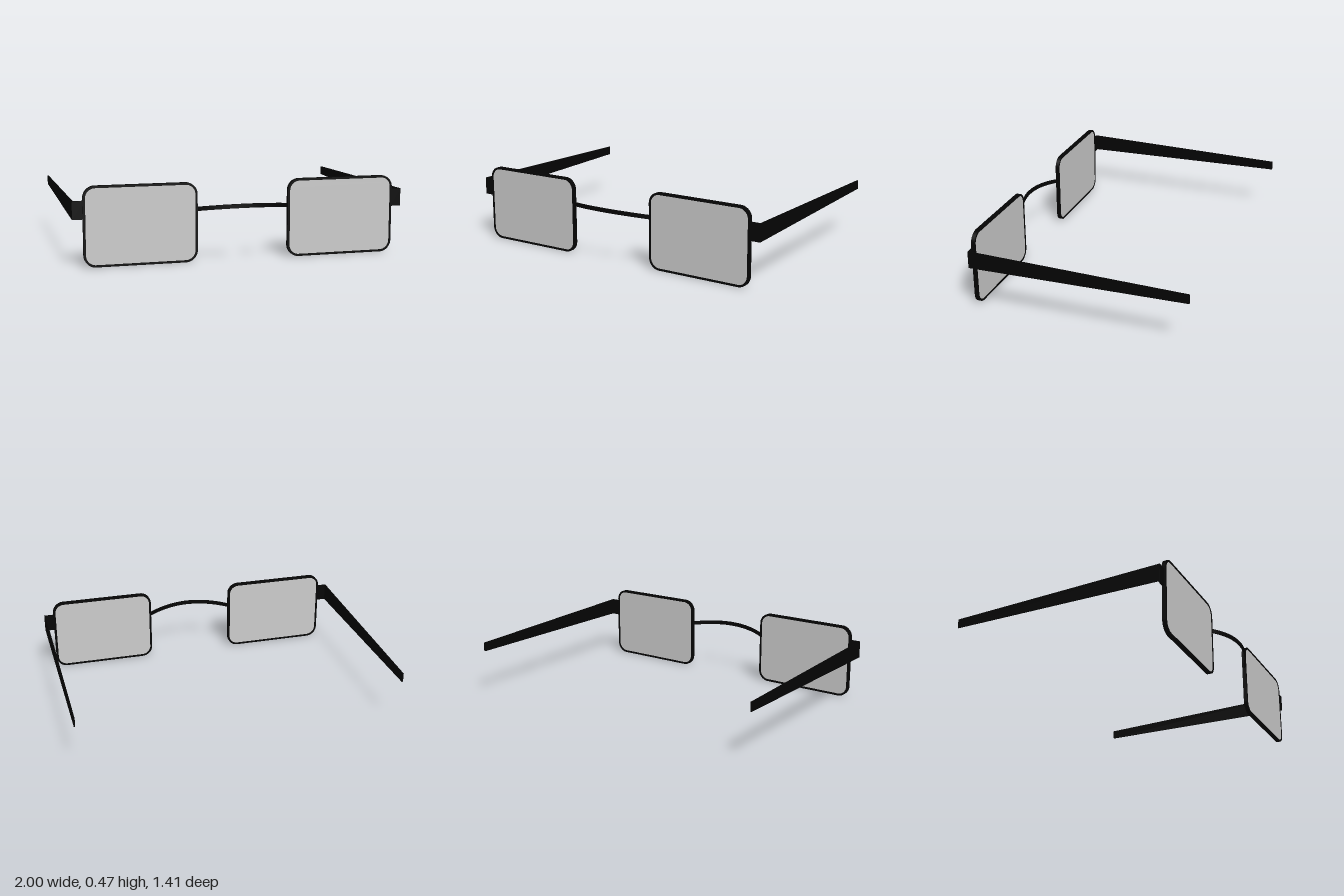
import * as THREE from 'three';

const black = new THREE.MeshStandardMaterial({ color: 0x040404 });
const grey = new THREE.MeshStandardMaterial({ color: 0xcccccc });

// Rounded rectangle centred on the origin
function roundedRect(Type, w, h, r) {
  const p = new Type();
  const x = w / 2 - r, y = h / 2 - r;
  p.absarc(x, y, r, 0, Math.PI / 2);
  p.absarc(-x, y, r, Math.PI / 2, Math.PI);
  p.absarc(-x, -y, r, Math.PI, Math.PI * 1.5);
  p.absarc(x, -y, r, Math.PI * 1.5, Math.PI * 2);
  p.closePath();
  return p;
}

function add(parent, name, geometry, material, x = 0, y = 0, z = 0) {
  const mesh = new THREE.Mesh(geometry, material);
  mesh.name = name;
  mesh.position.set(x, y, z);
  parent.add(mesh);
}

// Moves every vertex of a geometry by a rule
function bend(geometry, rule) {
  const pos = geometry.attributes.position;
  const v = new THREE.Vector3();
  for (let i = 0; i < pos.count; i++) {
    rule(v.fromBufferAttribute(pos, i));
    pos.setXYZ(i, v.x, v.y, v.z);
  }
  geometry.computeVertexNormals();
  return geometry;
}

export function createModel() {
  const model = new THREE.Group();
  model.name = 'glasses';

  const W = 0.664, H = 0.468, R = 0.07, RIM = 0.013, DEPTH = 0.024;
  const cx = 0.607, cy = H / 2, zBack = 0.61;

  // Rim outline with an opening, and the lens that fills it
  const rimShape = roundedRect(THREE.Shape, W, H, R);
  rimShape.holes.push(roundedRect(THREE.Path, W - 2 * RIM, H - 2 * RIM, R - RIM));
  const rim = new THREE.ExtrudeGeometry(rimShape, { depth: DEPTH, bevelEnabled: false, curveSegments: 10 });
  const lens = new THREE.ExtrudeGeometry(
    roundedRect(THREE.Shape, W - 2 * RIM, H - 2 * RIM, R - RIM),
    { depth: DEPTH - 0.004, bevelEnabled: false, curveSegments: 10 });

  // Temple arm: a thin bar tapering towards the ear
  const zFront = 0.626, zEar = -0.708;
  const temple = bend(new THREE.BoxGeometry(0.008, 1, zFront - zEar), (v) => {
    const back = v.z < 0;
    v.y = 0.331 + v.y * (back ? 0.056 : 0.106);
  });

  for (const [side, s] of [['left', 1], ['right', -1]]) {
    const half = new THREE.Group();
    half.name = side + 'Side';
    add(half, side + 'Rim', rim, black, s * cx, cy, zBack);
    add(half, side + 'Lens', lens, grey, s * cx, cy, zBack + 0.002);
    add(half, side + 'EndPiece', new THREE.BoxGeometry(0.066, 0.106, 0.014), black, s * 0.966, 0.331, 0.62);
    add(half, side + 'Temple', temple, black, s * 0.996, 0, (zFront + zEar) / 2);
    model.add(half);
  }

  // Bridge: a thin strip arching forwards and slightly upwards
  const span = 0.28;
  const bridge = bend(new THREE.BoxGeometry(2 * span, 0.024, 0.01, 32, 1, 1), (v) => {
    const rise = 1 - (v.x / span) ** 2;
    v.y += 0.31 + 0.02 * rise;
    v.z += 0.621 + 0.08 * rise;
  });
  add(model, 'bridge', bridge, black);

  return model;
}
